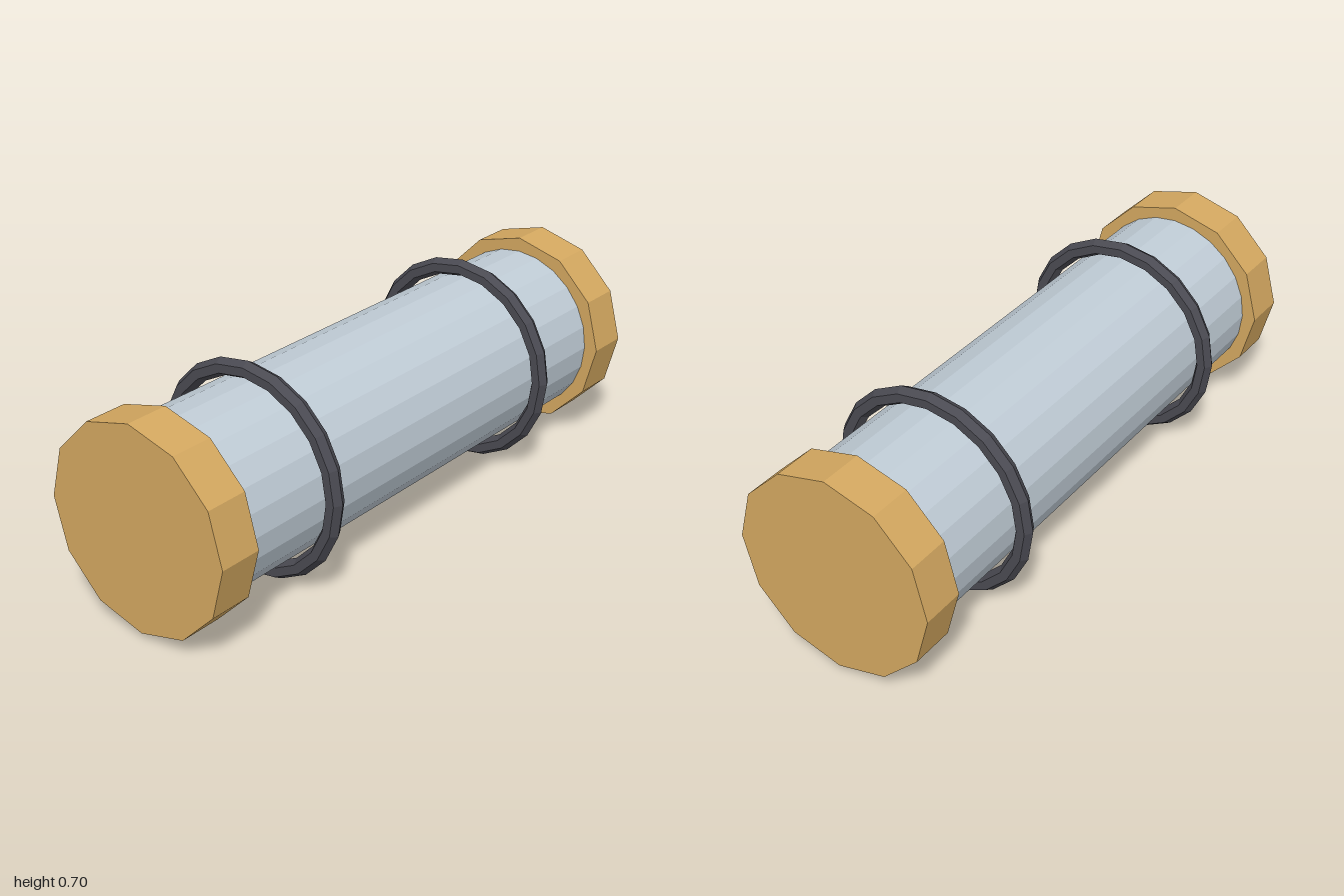
import * as THREE from 'three';

const AXIS_Y = 0.3524; // height of the long axis

function material(name, color) {
  const m = new THREE.MeshStandardMaterial({ color, flatShading: true });
  m.name = name;
  return m;
}

export function createModel() {
  const steel = material('paleSteel', 0xc0ccd6);
  const brass = material('brass', 0xd4a860);
  const rubber = material('darkRubber', 0x4a4a52);

  const model = new THREE.Group();
  model.name = 'canister';

  function add(name, geometry, mat, x) {
    const mesh = new THREE.Mesh(geometry, mat);
    mesh.name = name;
    mesh.position.set(x, AXIS_Y, 0);
    model.add(mesh);
  }

  // Faceted drum lying along x
  const drum = (radius, length, sides) =>
    new THREE.CylinderGeometry(radius, radius, length, sides).rotateZ(Math.PI / 2);

  // Tube, ending inside the caps
  add('tube', drum(0.2857, 1.8, 24), steel, 0);

  // End caps and loose rings, mirrored left and right
  for (const [side, s] of [['left', 1], ['right', -1]]) {
    add(side + 'Cap', drum(0.3333, 0.1429, 12), brass, s * 0.9286);
    const ring = new THREE.TorusGeometry(0.3238, 0.0286, 6, 20).rotateY(Math.PI / 2);
    add(side + 'Ring', ring, rubber, s * 0.5238);
  }

  return model;
}
